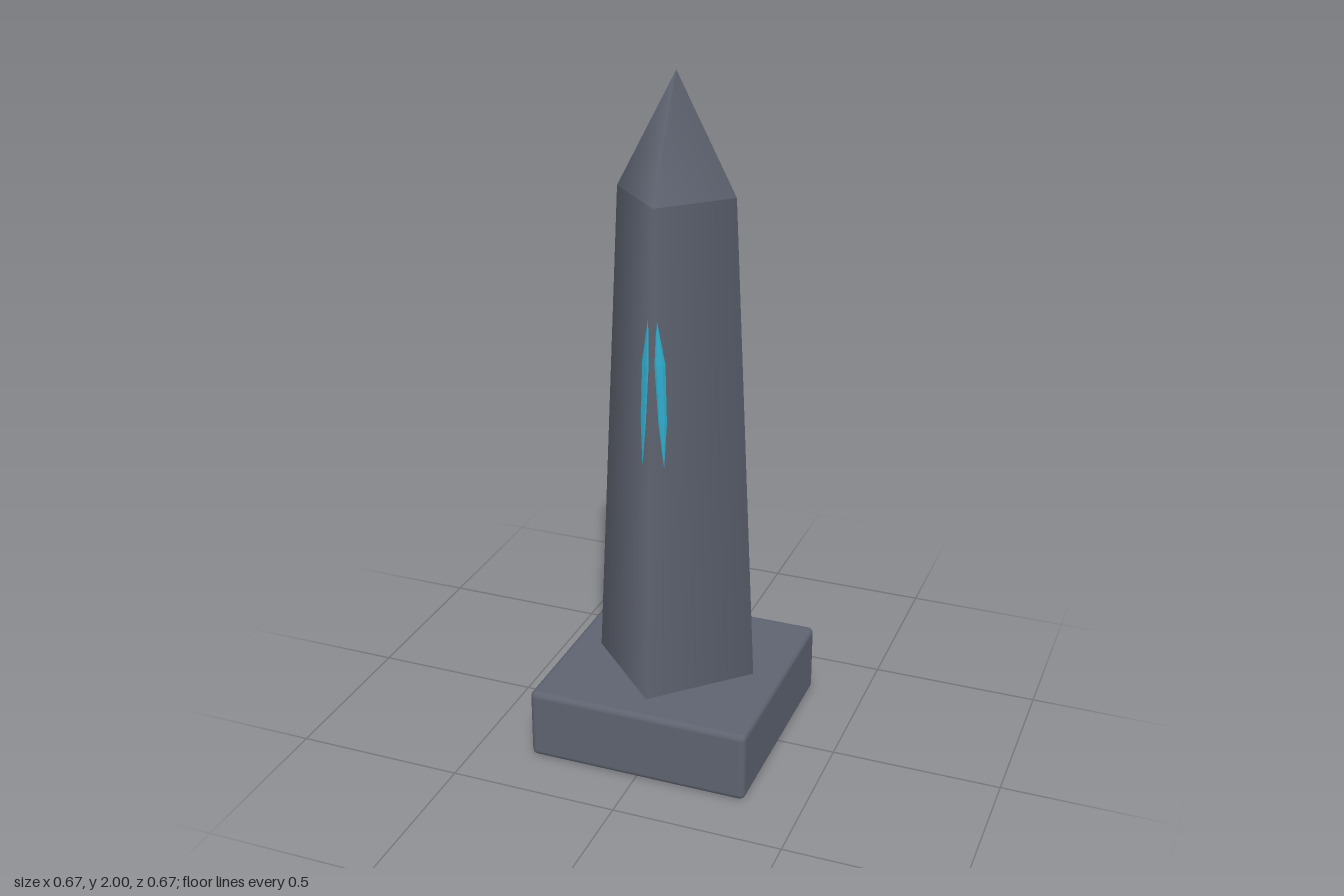
import * as THREE from 'three';
import { RoundedBoxGeometry } from 'three/addons/geometries/RoundedBoxGeometry.js';

export function createModel() {
  const group = new THREE.Group();
  const stone = new THREE.MeshStandardMaterial({ color: 0x5e6370 });
  stone.name = 'slate stone';
  const glow = new THREE.MeshStandardMaterial({ color: 0x2fabcb });
  glow.name = 'cyan crystal';

  const add = (name, geometry, material, y = 0) => {
    const mesh = new THREE.Mesh(geometry, material);
    mesh.name = name;
    mesh.position.y = y;
    group.add(mesh);
  };

  // Square plinth with softened edges
  const plinthH = 0.215, side = 0.665;
  add('plinth', new RoundedBoxGeometry(side, plinthH, side, 3, 0.018), stone, plinthH / 2);

  // Four-sided tapering shaft, corners facing the axes, smooth normals
  const shoulderY = 1.67, topR = 0.173, bottomR = 0.245;
  const shaftH = shoulderY - plinthH;
  add('shaft', new THREE.CylinderGeometry(topR, bottomR, shaftH, 4), stone, plinthH + shaftH / 2);

  // Pyramid cap
  const capH = 2 - shoulderY;
  add('cap', new THREE.ConeGeometry(topR, capH, 4), stone, shoulderY + capH / 2);

  // Pair of slender slit crystals either side of the front corner
  const profile = [[0, -0.215], [0.8, -0.08], [1, 0.09], [0, 0.215]].map(([r, y]) => new THREE.Vector2(r, y));
  for (const s of [-1, 1]) {
    let geo = new THREE.LatheGeometry(profile, 6);
    geo.rotateY(Math.PI / 6);
    geo.scale(0.017, 1, 0.008);
    geo.rotateY(s * 0.4);
    // Lean the tips toward the corner
    const p = geo.attributes.position;
    for (let i = 0; i < p.count; i++) p.setX(i, p.getX(i) + s * (0.023 - 0.045 * p.getY(i)));
    geo.translate(0, 1.145, 0.178);
    geo = geo.toNonIndexed();
    geo.computeVertexNormals();
    add(s > 0 ? 'leftSlit' : 'rightSlit', geo, glow);
  }
  return group;
}
